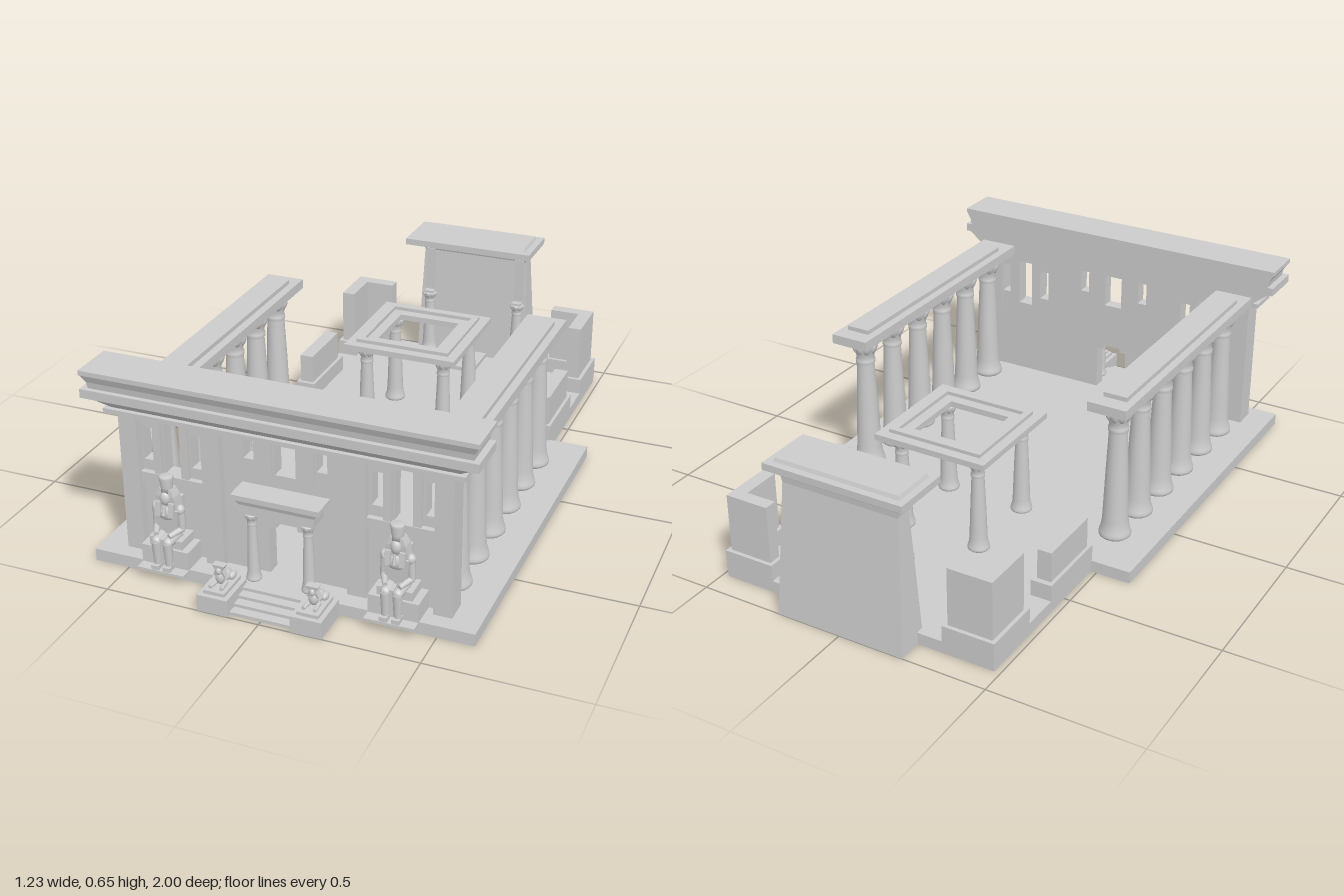
import * as THREE from 'three';

const mat = new THREE.MeshStandardMaterial({ color: 0xcccccc });
const shellMat = new THREE.MeshStandardMaterial({ color: 0xcccccc, side: THREE.DoubleSide });

function add(parent, geo, name) {
  const m = new THREE.Mesh(geo, mat);
  m.name = name;
  parent.add(m);
  return m;
}
// Box given by its limits
function block(p, name, x0, x1, y0, y1, z0, z1) {
  const g = new THREE.BoxGeometry(x1 - x0, y1 - y0, z1 - z0);
  g.translate((x0 + x1) / 2, (y0 + y1) / 2, (z0 + z1) / 2);
  return add(p, g, name);
}
// Removes the underside of a box, leaving an open shell
function openBelow(mesh) {
  const i = Array.from(mesh.geometry.index.array);
  i.splice(18, 6);
  mesh.geometry.setIndex(i);
  mesh.geometry.clearGroups();
  mesh.material = shellMat;
}
// Box whose top and bottom differ: half width, back z, front z for each end
function taper(p, name, y0, [w0, b0, f0], y1, [w1, b1, f1]) {
  const g = new THREE.BoxGeometry(2, 1, 1);
  const a = g.attributes.position;
  for (let i = 0; i < a.count; i++) {
    const up = a.getY(i) > 0, front = a.getZ(i) > 0;
    a.setXYZ(i, a.getX(i) * (up ? w1 : w0), up ? y1 : y0, up ? (front ? f1 : b1) : (front ? f0 : b0));
  }
  g.computeVertexNormals();
  return add(p, g, name);
}
function ball(p, name, x, y, z, sx, sy, sz) {
  const m = add(p, new THREE.SphereGeometry(1, 14, 10), name);
  m.position.set(x, y, z);
  m.scale.set(sx, sy, sz);
  return m;
}
// Tapered limb between two points
function limb(p, name, a, b, ra, rb) {
  const A = new THREE.Vector3(...a), B = new THREE.Vector3(...b);
  const d = B.clone().sub(A);
  const m = add(p, new THREE.CylinderGeometry(rb, ra, d.length(), 12), name);
  m.position.copy(A).addScaledVector(d, 0.5);
  m.quaternion.setFromUnitVectors(new THREE.Vector3(0, 1, 0), d.normalize());
}
function tracePath(path, pts) {
  pts.forEach(([x, y], i) => (i ? path.lineTo(x, y) : path.moveTo(x, y)));
  path.closePath();
  return path;
}
const rect = (x0, x1, y0, y1) => [[x0, y0], [x1, y0], [x1, y1], [x0, y1]];

// Column with flared foot, leafy bell capital and square abacus
const PROFILE = [[0, 0], [.88, 0], [.98, .01], [1, .025], [.96, .045], [.87, .075], [.8, .13], [.76, .25], [.68, .5],
  [.56, .8], [.62, .81], [.62, .835], [.55, .84], [.58, .87], [.66, .91], [.78, .945], [.76, .965], [.5, .97], [0, .97]];
function column(p, name, x, y, z, h, r) {
  const c = new THREE.Group();
  c.name = name;
  c.position.set(x, y, z);
  p.add(c);
  add(c, new THREE.LatheGeometry(PROFILE.map(([a, b]) => new THREE.Vector2(a * r, b * h)), 24), 'shaft');
  for (let i = 0; i < 8; i++) {
    const t = i * Math.PI / 4;
    const leaf = ball(c, 'capitalLeaf', Math.cos(t) * r * .68, h * .925, Math.sin(t) * r * .68, r * .13, h * .045, r * .22);
    leaf.rotation.set(0, -t, -0.35);
  }
  block(c, 'abacus', -r * .55, r * .55, h * .955, h, -r * .55, r * .55);
}

// Seated colossus with headcloth and tall crown
function colossus(p, x) {
  const g = new THREE.Group();
  g.name = 'seatedColossus';
  g.position.x = x;
  p.add(g);
  openBelow(block(g, 'plinth', -.078, .078, .03, .04, .79, .91));
  block(g, 'throne', -.078, .078, .04, .1, .78, .875);
  block(g, 'seat', -.055, .055, .1, .128, .78, .865);
  block(g, 'backPillar', -.03, .03, .12, .25, .78, .822);
  taper(g, 'torso', .12, [.03, .815, .85], .225, [.04, .815, .856]);
  ball(g, 'chest', 0, .21, .838, .042, .03, .024);
  for (const s of [-1, 1]) {
    limb(g, 'thigh', [s * .02, .132, .825], [s * .019, .13, .885], .019, .016);
    ball(g, 'knee', s * .019, .13, .886, .016, .016, .014);
    limb(g, 'shin', [s * .019, .042, .886], [s * .019, .13, .888], .011, .015);
    block(g, 'foot', s * .019 - .012, s * .019 + .012, .04, .054, .868, .908);
    ball(g, 'shoulder', s * .04, .222, .836, .014, .017, .015);
    limb(g, 'upperArm', [s * .043, .155, .836], [s * .041, .222, .836], .011, .012);
    limb(g, 'forearm', [s * .043, .157, .834], [s * .022, .15, .882], .011, .008);
    taper(g, 'headclothLappet', .205, [.008, .85, .866], .25, [.009, .846, .86]).position.x = s * .022;
  }
  block(g, 'kilt', -.014, .014, .06, .14, .85, .89);
  taper(g, 'headcloth', .228, [.037, .815, .852], .268, [.03, .815, .854]);
  taper(g, 'headclothCrown', .268, [.03, .815, .854], .293, [.019, .82, .852]);
  ball(g, 'face', 0, .262, .85, .017, .024, .016);
  limb(g, 'beard', [0, .212, .868], [0, .242, .862], .006, .004);
  const crown = [[0, .28], [.019, .28], [.018, .297], [.022, .326], [.019, .332], [0, .332]];
  add(g, new THREE.LatheGeometry(crown.map(c => new THREE.Vector2(...c)), 18), 'crown').position.z = .838;
}

// Small reclining sphinx on its stair pedestal
function sphinx(p, x) {
  const g = new THREE.Group();
  g.name = 'sphinx';
  g.position.x = x;
  p.add(g);
  openBelow(block(g, 'pedestal', -.049, .049, 0, .055, .868, 1));
  block(g, 'pedestalCap', -.034, .034, .055, .066, .875, .985);
  ball(g, 'body', 0, .08, .912, .018, .017, .036);
  ball(g, 'chest', 0, .09, .938, .015, .022, .014);
  taper(g, 'headcloth', .096, [.02, .926, .944], .118, [.012, .926, .948]);
  taper(g, 'headdress', .118, [.011, .926, .948], .135, [.02, .926, .95]);
  ball(g, 'face', 0, .115, .948, .009, .012, .008);
  for (const s of [-1, 1]) {
    limb(g, 'foreleg', [s * .014, .072, .93], [s * .018, .072, .972], .007, .006);
    ball(g, 'haunch', s * .018, .076, .895, .01, .013, .018);
  }
}

export function createModel() {
  const model = new THREE.Group();
  model.name = 'temple';

  // Floor slab with a rim, open underneath
  const half = [[.615, .87], [.615, -.328], [.48, -.328], [.48, -.917]];
  const outline = [...half, ...half.map(([x, z]) => [-x, z]).reverse()];
  const top = new THREE.ShapeGeometry(tracePath(new THREE.Shape(), outline.map(([x, z]) => [x, -z])));
  top.rotateX(-Math.PI / 2);
  const floor = add(model, top, 'floor');
  floor.position.y = .04;
  floor.material = shellMat;
  outline.forEach(([x, z], i) => {
    const [u, w] = outline[(i + 1) % outline.length];
    const rim = add(model, new THREE.PlaneGeometry(Math.hypot(u - x, w - z), .04), 'floorRim');
    rim.position.set((x + u) / 2, .02, (z + w) / 2);
    rim.rotation.y = Math.atan2(z - w, u - x);
    rim.material = shellMat;
  });

  // Front wall with door and windows
  const wall = tracePath(new THREE.Shape(), [[-.5, .04], [-.058, .04], [-.058, .2], [-.033, .2], [-.033, .215],
    [.033, .215], [.033, .2], [.058, .2], [.058, .04], [.5, .04], [.5, .507], [-.5, .507]]);
  const windows = [[-.033, .033, .378, .495]];
  for (const s of [-1, 1])
    for (const [a, b, y0, y1] of [[.1, .133, .415, .495], [.27, .305, .345, .455], [.34, .395, .31, .477], [.435, .465, .345, .455]])
      windows.push([Math.min(a * s, b * s), Math.max(a * s, b * s), y0, y1]);
  windows.forEach(w => wall.holes.push(tracePath(new THREE.Path(), rect(...w))));
  add(model, new THREE.ExtrudeGeometry(wall, { depth: .045, bevelEnabled: false }), 'frontWall').position.z = .745;

  for (const s of [-1, 1]) {
    const side = (name, a, b, ...r) => block(model, name, Math.min(a * s, b * s), Math.max(a * s, b * s), ...r);
    side('cornerPier', .47, .528, .04, .507, .744, .82);
    side('innerPier', .2, .26, .04, .507, .75, .815);
    // Mullions and screen under the side windows
    side('mullion', .31, .335, .275, .507, .78, .805);
    side('mullion', .4, .425, .275, .507, .78, .805);
    side('windowSill', .26, .47, .27, .31, .78, .808);
    side('centreMullion', .04, .094, .375, .507, .78, .8);
    colossus(model, s * .368);
    sphinx(model, s * .149);
    column(model, 'porchColumn', s * .09, .04, .838, .232, .024);

    // Side colonnade and its beam
    for (let i = 0; i < 6; i++) column(model, 'courtColumn', s * .474, .04, .643 - i * .159, .47, .053);
    side('colonnadeBeam', .408, .54, .508, .54, -.24, .745);
    side('colonnadeRidge', .435, .515, .54, .555, -.185, .66);

    // Low screen wall and L-shaped corner wall at the rear
    side('screenBase', .41, .481, .03, .095, -.585, -.322);
    side('screenWall', .422, .47, .095, .197, -.567, -.337);
    side('cornerBase', .41, .481, .03, .095, -.918, -.715);
    side('cornerBase', .305, .412, .03, .095, -.918, -.85);
    side('cornerWall', .422, .468, .095, .29, -.905, -.728);
    side('cornerWall', .318, .424, .095, .29, -.905, -.862);

    // Engaged columns and posts on the rear gate
    column(model, 'gateColumn', s * .175, .04, -.895, .245, .032);
    side('gatePost', .158, .192, .28, .45, -.93, -.902);
  }

  // Front cornice: flared, flat at the back
  taper(model, 'corniceSlab', .505, [.565, .73, .84], .52, [.565, .73, .84]);
  taper(model, 'corniceFlare', .52, [.545, .73, .825], .562, [.598, .73, .868]);
  taper(model, 'corniceBand', .562, [.615, .73, .878], .59, [.615, .73, .878]);
  taper(model, 'corniceNeck', .59, [.595, .73, .862], .61, [.598, .73, .865]);
  taper(model, 'corniceNeckFlare', .61, [.598, .73, .865], .635, [.612, .73, .876]);
  taper(model, 'corniceTop', .635, [.615, .73, .878], .65, [.615, .73, .878]);

  // Porch over the door
  taper(model, 'porchLintel', .27, [.118, .78, .86], .3, [.12, .78, .86]);
  taper(model, 'porchFlare', .3, [.12, .78, .86], .322, [.135, .78, .868]);
  taper(model, 'porchTop', .318, [.14, .78, .872], .335, [.14, .78, .872]);

  // Entrance steps
  for (let i = 0; i < 4; i++)
    openBelow(block(model, 'entranceStep', -.1, .1, 0, .01 * (i + 1), .868, .985 - i * .03));

  // Open-roofed kiosk
  const kiosk = new THREE.Group();
  kiosk.name = 'kiosk';
  kiosk.position.z = -.305;
  model.add(kiosk);
  for (const [o, h, y, d] of [[.198, .108, .365, .02], [.165, .143, .385, .012]]) {
    const ring = tracePath(new THREE.Shape(), rect(-o, o, -o, o));
    ring.holes.push(tracePath(new THREE.Path(), rect(-h, h, -h, h)));
    const g = new THREE.ExtrudeGeometry(ring, { depth: d, bevelEnabled: false });
    g.rotateX(-Math.PI / 2);
    add(kiosk, g, 'kioskRoof').position.y = y;
  }
  for (const x of [-.14, .14]) for (const z of [-.135, .135]) column(kiosk, 'kioskColumn', x, .04, z, .326, .036);

  // Rear gate with sloping walls and a curved cornice
  openBelow(taper(model, 'gateBody', 0, [.222, -1, -.888], .46, [.2, -.96, -.91]));
  const cavetto = [[.445, .2, -.962, -.908], [.465, .203, -.964, -.9], [.478, .209, -.969, -.882],
    [.487, .219, -.978, -.85], [.494, .232, -.992, -.815]];
  for (let i = 1; i < cavetto.length; i++) {
    const [y0, ...lower] = cavetto[i - 1], [y1, ...upper] = cavetto[i];
    taper(model, 'gateFlare', y0, lower, y1, upper);
  }
  taper(model, 'gateCornice', .493, [.24, -1, -.803], .516, [.24, -1, -.803]);
  taper(model, 'gateRidge', .516, [.217, -.977, -.826], .528, [.212, -.972, -.833]);
  openBelow(block(model, 'gateStep', -.06, .06, .015, .055, -.9, -.74));

  return model;
}
